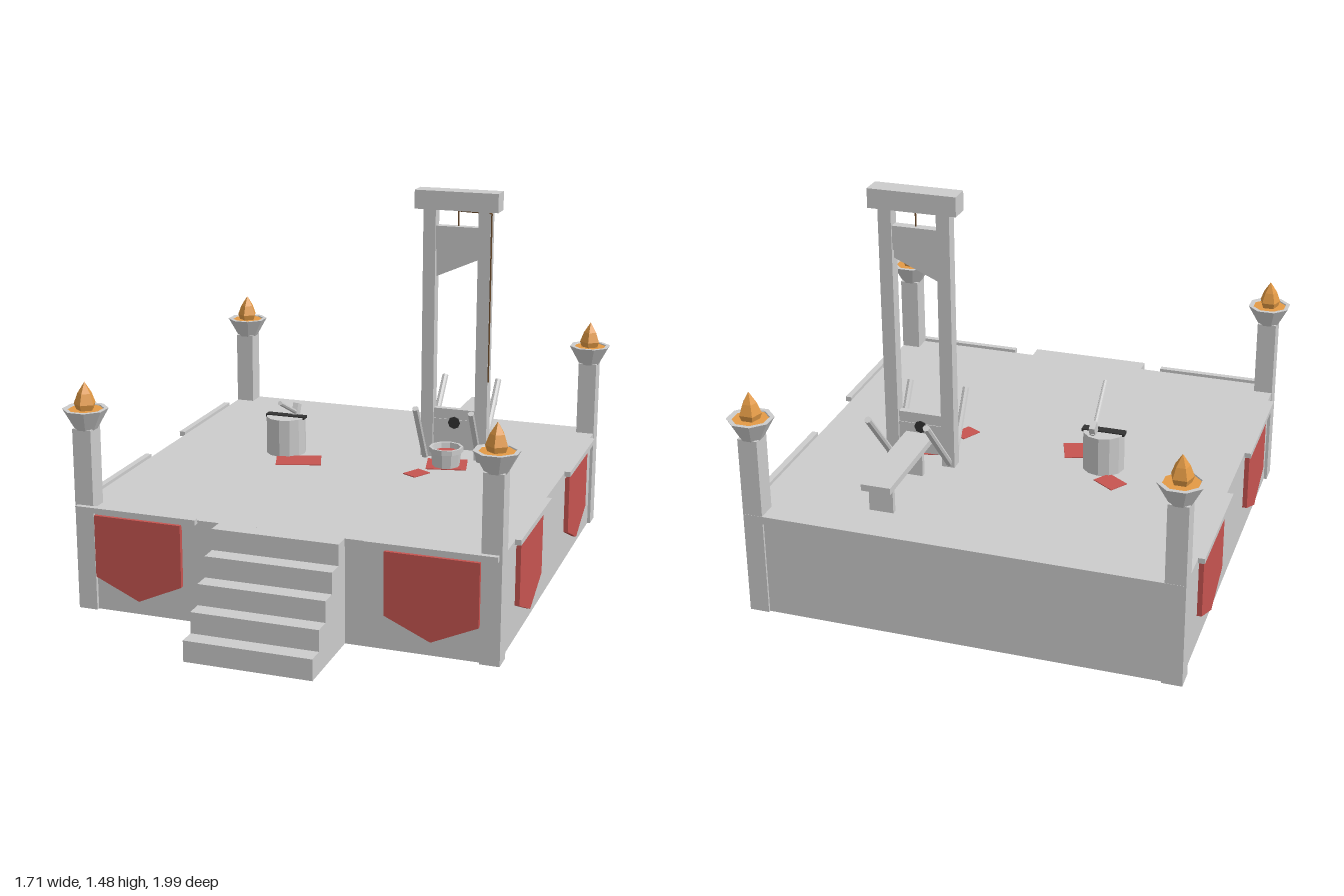
import * as THREE from 'three';

const mat = (color, extra = {}) => new THREE.MeshStandardMaterial({ color, flatShading: true, ...extra });
const GREY = mat(0xcccccc);
const GREY_OPEN = mat(0xcccccc, { side: THREE.DoubleSide });
const RED = mat(0xc65450, { side: THREE.DoubleSide });
const FLAME = mat(0xe39a45, { side: THREE.DoubleSide });
const DARK = mat(0x333333);
const ROPE = mat(0x6b4a2a);

export function createModel() {
  const model = new THREE.Group();

  const add = (name, geo, material = GREY, parent = model) => {
    const mesh = new THREE.Mesh(geo, material);
    mesh.name = name;
    parent.add(mesh);
    return mesh;
  };
  // Box given by its extents on each axis
  const box = (name, [x0, x1], [y0, y1], [z0, z1], material, parent) => {
    const m = add(name, new THREE.BoxGeometry(x1 - x0, y1 - y0, z1 - z0), material, parent);
    m.position.set((x0 + x1) / 2, (y0 + y1) / 2, (z0 + z1) / 2);
    return m;
  };
  // Round bar between two points
  const bar = (name, a, b, r, material, parent) => {
    const p = new THREE.Vector3(...a), q = new THREE.Vector3(...b);
    const d = q.clone().sub(p);
    const m = add(name, new THREE.CylinderGeometry(r, r, d.length(), 8), material, parent);
    m.position.copy(p).add(q).multiplyScalar(0.5);
    m.quaternion.setFromUnitVectors(new THREE.Vector3(0, 1, 0), d.normalize());
    return m;
  };
  const lathe = (points, sides) =>
    new THREE.LatheGeometry(points.map(([r, y]) => new THREE.Vector2(r, y)), sides);

  // Platform: deck slab over thin walls, open underneath
  box('deck', [-0.81, 0.81], [0.37, 0.4], [-0.955, 0.67]);
  box('frontWall', [-0.8, 0.8], [0, 0.37], [0.65, 0.665]);
  box('backWall', [-0.8, 0.8], [0, 0.37], [-0.945, -0.93]);
  for (const s of [-1, 1]) {
    const w = box('sideWall', [-0.0075, 0.0075], [0, 0.37], [-0.93, 0.65]);
    w.position.x = s * 0.7925;
  }

  // Stairs: one solid stepped profile
  const stair = new THREE.Shape();
  stair.moveTo(0.66, 0);
  stair.lineTo(1, 0);
  for (let i = 0; i < 5; i++) {
    const z = 1 - i * 0.0665;
    stair.lineTo(z, (i + 1) * 0.08);
    stair.lineTo(i < 4 ? z - 0.0665 : 0.66, (i + 1) * 0.08);
  }
  const stairs = add('stairs', new THREE.ExtrudeGeometry(stair, { depth: 0.48, bevelEnabled: false }));
  stairs.rotation.y = -Math.PI / 2;
  stairs.position.x = 0.24;

  // Corner posts with fire bowls
  for (const x of [-0.775, 0.775]) for (const z of [-0.915, 0.64]) {
    const post = new THREE.Group();
    post.name = 'torchPost';
    post.position.set(x, 0, z);
    model.add(post);
    box('post', [-0.037, 0.037], [0, 0.7], [-0.039, 0.039], GREY, post);
    const bowl = add('fireBowl', lathe([[0, 0.695], [0.042, 0.695], [0.085, 0.772], [0.068, 0.772], [0.055, 0.745]], 8), GREY_OPEN, post);
    bowl.rotation.y = Math.PI / 8;
    const embers = add('embers', new THREE.CylinderGeometry(0.068, 0.05, 0.02, 8), FLAME, post);
    embers.position.y = 0.758;
    embers.rotation.y = Math.PI / 8;
    add('flame', lathe([[0.032, 0.762], [0.042, 0.79], [0.027, 0.83], [0, 0.872]], 5), FLAME, post);
  }

  // Hanging banners with their rods, facing +z before being turned
  const cloth = new THREE.Shape();
  cloth.moveTo(-0.173, 0.375);
  cloth.lineTo(-0.173, 0.135);
  cloth.lineTo(0, 0.057);
  cloth.lineTo(0.173, 0.135);
  cloth.lineTo(0.173, 0.375);
  const clothGeo = new THREE.ExtrudeGeometry(cloth, { depth: 0.018, bevelEnabled: false });
  const banner = (x, z, turn) => {
    const g = new THREE.Group();
    g.name = 'banner';
    add('bannerCloth', clothGeo, RED, g);
    box('bannerRod', [-0.24, 0.24], [0.39, 0.41], [0.01, 0.034], GREY, g);
    g.position.set(x, 0, z);
    g.rotation.y = turn;
    model.add(g);
  };
  for (const s of [-1, 1]) {
    banner(s * 0.562, 0.665, 0);
    for (const z of [0.268, -0.54]) banner(s * 0.803, z, s * Math.PI / 2);
  }

  // Tall frame with the drop blade
  const frame = new THREE.Group();
  frame.name = 'bladeFrame';
  frame.position.set(0.345, 0, -0.375);
  model.add(frame);
  for (const s of [-1, 1]) {
    const up = box('upright', [-0.025, 0.025], [0.4, 1.41], [-0.025, 0.025], GREY, frame);
    up.position.x = s * 0.111;
    // Braces leaning forward and back
    bar('frontBrace', [s * 0.113, 0.4, 0.035], [s * 0.113, 0.64, 0.18], 0.013, GREY, frame);
    bar('backBrace', [s * 0.113, 0.4, -0.005], [s * 0.113, 0.67, -0.245], 0.013, GREY, frame);
  }
  box('topBeam', [-0.168, 0.168], [1.408, 1.482], [-0.04, 0.04], GREY, frame);
  box('bladeWeight', [-0.087, 0.087], [1.25, 1.342], [-0.018, 0.018], GREY, frame);
  const edge = new THREE.Shape();
  edge.moveTo(-0.087, 1.25);
  edge.lineTo(-0.087, 1.138);
  edge.lineTo(0.087, 1.215);
  edge.lineTo(0.087, 1.25);
  add('blade', new THREE.ExtrudeGeometry(edge, { depth: 0.01, bevelEnabled: false }), GREY, frame).position.z = -0.005;

  // Neck boards
  box('lowerStock', [-0.087, 0.087], [0.437, 0.49], [-0.01, 0.01], GREY, frame);
  box('middleStock', [-0.087, 0.087], [0.49, 0.56], [-0.016, 0.016], GREY, frame);
  box('upperStock', [-0.087, 0.087], [0.56, 0.602], [-0.013, 0.013], GREY, frame);
  bar('neckHole', [0, 0.547, -0.017], [0, 0.547, 0.018], 0.025, DARK, frame);

  // Rope over the beam and down the outside
  const rope = [[0, 1.34, 0], [0, 1.402, 0], [0.139, 1.402, 0.024], [0.139, 0.73, 0.024]];
  for (let i = 0; i < 3; i++) bar('rope', rope[i], rope[i + 1], 0.003, ROPE, frame);

  // Bench behind the frame
  box('benchTop', [0.29, 0.402], [0.5, 0.525], [-0.835, -0.395]);
  for (const z of [-0.487, -0.78]) box('benchLeg', [0.3, 0.392], [0.4, 0.5], [z - 0.01, z + 0.01]);

  // Bucket in front of the frame
  const bucket = add('bucket', lathe([[0, 0.402], [0.054, 0.402], [0.06, 0.46], [0.068, 0.46], [0.068, 0.48], [0.057, 0.48], [0.052, 0.45]], 10), GREY_OPEN);
  bucket.position.set(0.345, 0, -0.25);
  const fill = add('bucketFill', new THREE.CircleGeometry(0.055, 10), RED);
  fill.rotation.x = -Math.PI / 2;
  fill.position.set(0.345, 0.458, -0.25);

  // Chopping block with dark strap
  const block = add('choppingBlock', new THREE.CylinderGeometry(0.08, 0.08, 0.152, 12));
  block.position.set(-0.322, 0.476, -0.218);
  box('blockStrap', [-0.405, -0.24], [0.545, 0.556], [-0.238, -0.203], DARK);

  // Axe stuck in the block
  bar('axeHandle', [-0.294, 0.55, -0.275], [-0.272, 0.66, -0.025], 0.009);
  const head = box('axeHead', [-0.303, -0.281], [0.53, 0.595], [-0.275, -0.235]);
  head.rotation.x = -0.4;

  // Stains lying on the deck: x, z, width, depth, turn
  for (const [x, z, w, d, turn] of [
    [0.345, -0.262, 0.16, 0.135, 0.22], [0.264, -0.115, 0.066, 0.085, -0.5],
    [-0.38, -0.333, 0.1, 0.077, -0.6], [-0.23, -0.115, 0.18, 0.117, 0.33],
  ]) {
    const stain = add('stain', new THREE.BoxGeometry(w, 0.003, d), RED);
    stain.position.set(x, 0.4015, z);
    stain.rotation.y = turn;
  }
  return model;
}
